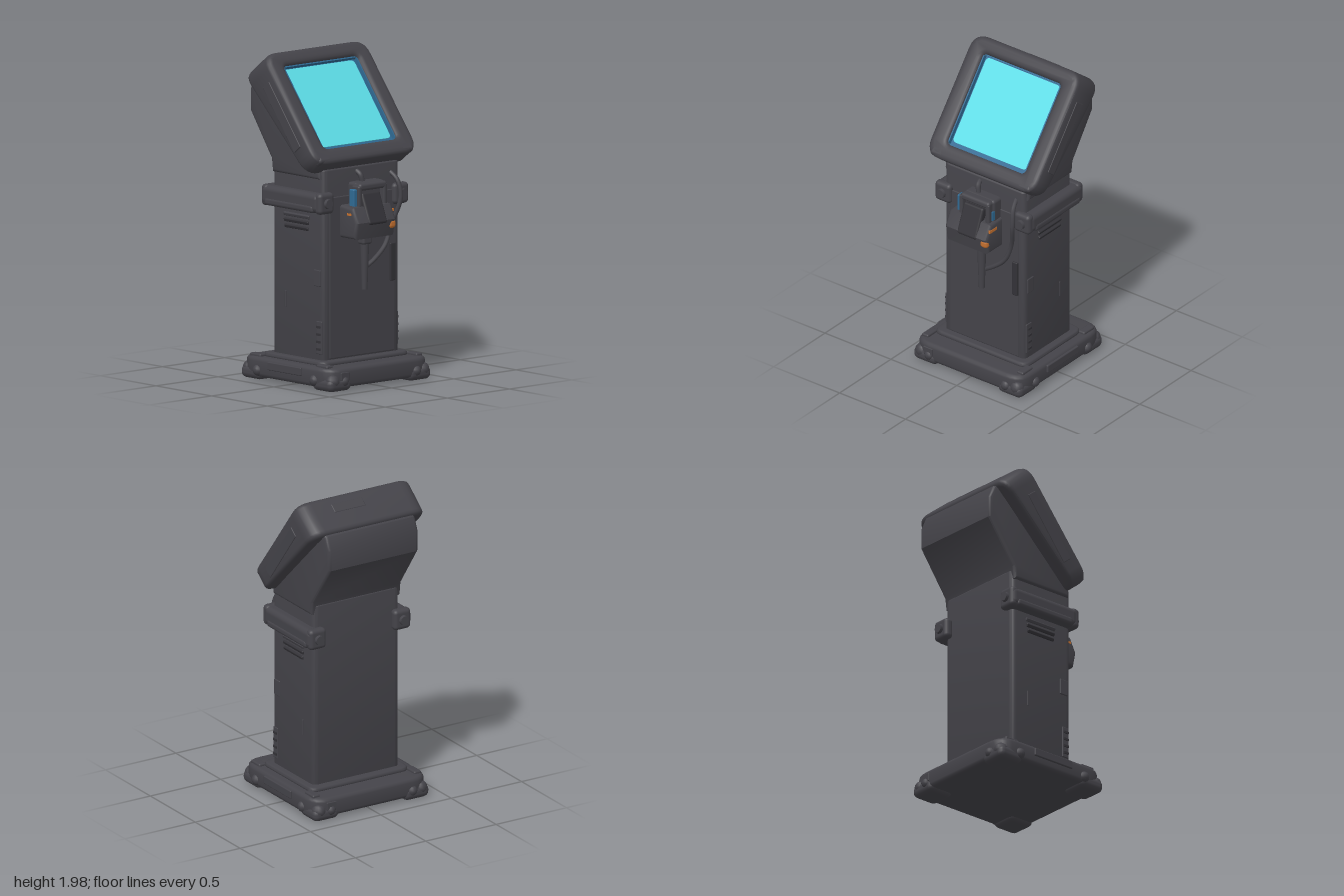
import * as THREE from 'three';
import { toCreasedNormals } from 'three/addons/utils/BufferGeometryUtils.js';
import { RoundedBoxGeometry } from 'three/addons/geometries/RoundedBoxGeometry.js';

const material = (name, color) => {
  const m = new THREE.MeshStandardMaterial({ color });
  m.name = name;
  return m;
};

// Rounded rectangle outline, centred on the origin
function roundedRect(w, h, r, Type = THREE.Shape) {
  const s = new Type(), x = w / 2, y = h / 2;
  s.moveTo(-x + r, -y);
  s.lineTo(x - r, -y); s.quadraticCurveTo(x, -y, x, -y + r);
  s.lineTo(x, y - r); s.quadraticCurveTo(x, y, x - r, y);
  s.lineTo(-x + r, y); s.quadraticCurveTo(-x, y, -x, y - r);
  s.lineTo(-x, -y + r); s.quadraticCurveTo(-x, -y, -x + r, -y);
  return s;
}

// Extrusion whose total depth and outline include the bevel; spans z = 0..depth
function extrude(shape, depth, bevel) {
  const g = new THREE.ExtrudeGeometry(shape, {
    depth: depth - 2 * bevel, bevelThickness: bevel, bevelSize: bevel,
    bevelOffset: -bevel, bevelSegments: 3, curveSegments: 6,
  });
  return g.translate(0, 0, bevel);
}

export function createModel() {
  const model = new THREE.Group();
  const casing = material('charcoal casing', 0x444349);
  const dark = material('dark trim', 0x333237);
  const cyan = material('cyan screen', 0x5ddfe9);
  const blue = material('blue rim', 0x2f6a93);
  const orange = material('orange accent', 0xc4702f);

  const add = (name, geometry, mat, parent = model) => {
    const mesh = new THREE.Mesh(geometry, mat);
    mesh.name = name;
    parent.add(mesh);
    return mesh;
  };
  const box = (name, x, y, z, w, h, d, r, mat, parent) => {
    const g = r ? new RoundedBoxGeometry(w, h, d, 2, r) : new THREE.BoxGeometry(w, h, d);
    const mesh = add(name, g, mat, parent);
    mesh.position.set(x, y, z);
    return mesh;
  };
  // Upright slab with a rounded footprint
  const slab = (name, w, d, r, y0, y1, bevel, mat) => {
    const g = extrude(roundedRect(w, d, r), y1 - y0, bevel).rotateX(-Math.PI / 2);
    return add(name, toCreasedNormals(g.translate(0, y0, 0), 0.7), mat);
  };
  // Side profile in x and y, stretched from z0 to z1
  const profile = (name, points, z0, z1, bevel, mat) => {
    const shape = new THREE.Shape(points.map(([x, y]) => new THREE.Vector2(x, y)));
    const g = extrude(shape, z1 - z0, bevel).translate(0, 0, z0);
    return add(name, toCreasedNormals(g, 0.6), mat);
  };
  const tube = (name, points, radius, mat) => {
    const curve = new THREE.CatmullRomCurve3(points.map((p) => new THREE.Vector3(...p)));
    return add(name, new THREE.TubeGeometry(curve, 32, radius, 8), mat);
  };

  // Base, feet and the step around the column
  slab('base', 0.81, 0.82, 0.12, 0.02, 0.14, 0.025, casing);
  slab('baseStep', 0.56, 0.7, 0.06, 0.13, 0.165, 0.015, casing);
  for (const sx of [-1, 1]) for (const sz of [-1, 1]) {
    const foot = new THREE.Group();
    foot.name = 'foot';
    model.add(foot);
    box('footPad', sx * 0.32, 0.04, sz * 0.32, 0.18, 0.08, 0.18, 0.035, casing, foot);
    for (const [x, z, r] of [[0.255, 0.395, 0.036], [0.39, 0.29, 0.034], [0.37, 0.36, 0.045]]) {
      const knob = add('footKnob', new THREE.SphereGeometry(r, 12, 8), casing, foot);
      knob.position.set(sx * x, 0.06, sz * z);
    }
    box('baseClip', sx * 0.3, 0.14, sz * 0.36, 0.1, 0.03, 0.05, 0.01, casing);
  }
  for (const s of [-1, 1]) {
    box('baseSidePanel', 0, 0.1, s * 0.411, 0.3, 0.05, 0.02, 0.006, casing);
    box('baseEndPanel', s * 0.405, 0.09, 0.29 * s, 0.012, 0.05, 0.07, 0.004, casing);
  }

  // Column
  slab('column', 0.46, 0.61, 0.035, 0.13, 1.32, 0.01, casing);
  box('frontPanel', 0.228, 0.66, 0, 0.016, 0.98, 0.52, 0.006, casing);
  for (const s of [-1, 1]) {
    // Side bar with bolted ends
    box('sideBar', -0.02, 1.12, s * 0.31, 0.52, 0.12, 0.11, 0.035, casing);
    box('sideBarRim', -0.02, 1.085, s * 0.315, 0.44, 0.05, 0.11, 0.02, casing);
    for (const x of [-0.25, 0.23]) {
      box('barEnd', x, 1.12, s * 0.3, 0.06, 0.13, 0.12, 0.025, casing);
      const bolt = add('barBolt', new THREE.CylinderGeometry(0.028, 0.032, 0.03, 12), casing);
      bolt.rotation.z = -Math.PI / 2 * Math.sign(x);
      bolt.position.set(x + Math.sign(x) * 0.033, 1.12, s * 0.3);
    }
    // Side vent louvres
    for (let i = 0; i < 3; i++) {
      const louvre = box('sideVent', -0.01, 1.02 - i * 0.036, s * 0.305, 0.23 - i * 0.01, 0.022, 0.02, 0.006, i ? dark : casing);
      louvre.rotation.x = s * 0.35;
    }
    // Small service hatches on the sides
    box('sideHatch', 0.175, 0.66, s * 0.303, 0.06, 0.1, 0.016, 0.005, casing);
    box('sideSlot', 0.19, 0.3, s * 0.303, 0.05, 0.2, 0.014, 0.005, casing);
    for (let i = 0; i < 4; i++) {
      box('slotRib', 0.19, 0.23 + i * 0.045, s * 0.31, 0.036, 0.014, 0.012, 0, dark);
    }
    box('sideSeam', -0.11, 0.5, s * 0.304, 0.012, 0.1, 0.012, 0.003, casing);
  }
  box('frontStrip', 0.237, 0.71, -0.24, 0.02, 0.23, 0.04, 0.006, dark);

  // Head housing leaning back from the column
  profile('headHousing', [[-0.22, 1.26], [-0.23, 1.34], [-0.42, 1.61], [-0.42, 1.74], [-0.385, 1.82],
    [-0.2, 1.9], [0.2, 1.38], [0.21, 1.26]], -0.32, 0.32, 0.02, casing);

  // Tilted display; local x runs across, y up the slope, z out of the screen
  const display = new THREE.Group();
  display.name = 'display';
  display.position.set(0.05, 1.685, 0);
  display.rotation.set(-0.666, Math.PI / 2, 0, 'YXZ');
  model.add(display);
  const frame = roundedRect(0.82, 0.785, 0.1);
  frame.holes.push(roundedRect(0.59, 0.585, 0.035, THREE.Path));
  const bezel = extrude(frame, 0.25, 0.032).translate(0, 0, -0.25);
  // Thin the frame toward its lower edge
  const p = bezel.attributes.position;
  for (let i = 0; i < p.count; i++) {
    const t = THREE.MathUtils.clamp((p.getY(i) + 0.39) / 0.78, 0, 1);
    p.setZ(i, p.getZ(i) * (0.55 + 0.45 * t));
  }
  bezel.computeVertexNormals();
  add('bezel', toCreasedNormals(bezel, 0.7), casing, display);
  box('screenRim', 0, 0, -0.05, 0.61, 0.605, 0.012, 0, blue, display);
  const screen = add('screen', extrude(roundedRect(0.56, 0.547, 0.03), 0.006, 0.001), cyan, display);
  screen.position.set(0, 0.0065, -0.045);
  for (const s of [-1, 1]) {
    box('rimSide', s * 0.291, 0, -0.033, 0.008, 0.57, 0.03, 0, blue, display);
    box('rimEdge', 0, s * 0.289, -0.033, 0.57, 0.008, 0.03, 0, blue, display);
    box('bezelSidePanel', s * 0.408, 0, -0.1, 0.012, 0.46, 0.07, 0.004, casing, display);
    box('bezelCorner', s * 0.33, -0.35, -0.03, 0.1, 0.07, 0.06, 0.02, casing, display);
  }
  box('bezelTopClip', 0.08, 0.388, -0.09, 0.22, 0.014, 0.06, 0.005, casing, display);

  // Handset cradle on the front
  profile('cradle', [[0.22, 0.9], [0.37, 0.9], [0.39, 1.0], [0.345, 1.09], [0.22, 1.1]], -0.14, 0.18, 0.022, casing);
  box('cradleBack', 0.255, 1.13, -0.01, 0.09, 0.2, 0.23, 0.02, casing);
  box('cradleHood', 0.28, 1.205, -0.005, 0.11, 0.045, 0.22, 0.018, casing);
  for (const z of [-0.1, 0.1]) box('cradleArm', 0.3, 1.12, z, 0.07, 0.19, 0.03, 0.012, casing);
  const handset = box('handset', 0.338, 1.07, 0.01, 0.05, 0.2, 0.15, 0.015, dark);
  handset.rotation.z = 0.38;
  box('handsetBlueGrip', 0.295, 1.13, 0.122, 0.045, 0.13, 0.036, 0.008, blue);
  box('handsetBlueTab', 0.295, 1.13, -0.118, 0.03, 0.06, 0.012, 0, blue);
  box('orangeButton', 0.365, 0.97, -0.112, 0.05, 0.055, 0.055, 0.02, orange);
  box('orangeStripeRight', 0.325, 1.05, -0.137, 0.07, 0.018, 0.012, 0, orange);
  box('orangeStripeLeft', 0.32, 1.05, 0.176, 0.04, 0.014, 0.012, 0, orange);

  // Cables
  const plug = add('hangingCable', new THREE.CylinderGeometry(0.03, 0.018, 0.34, 10), casing);
  plug.position.set(0.256, 0.74, 0);
  box('cableSocket', 0.26, 0.875, 0, 0.06, 0.06, 0.075, 0.015, casing);
  tube('sideCable', [[0.2, 1.27, -0.23], [0.27, 1.21, -0.25], [0.29, 1.1, -0.26], [0.25, 0.94, -0.22],
    [0.25, 0.82, -0.17], [0.25, 0.74, -0.08], [0.24, 0.7, -0.02]], 0.014, casing);
  tube('headCable', [[0.2, 1.3, 0.04], [0.25, 1.27, 0.03], [0.26, 1.22, 0.02]], 0.016, casing);
  return model;
}
